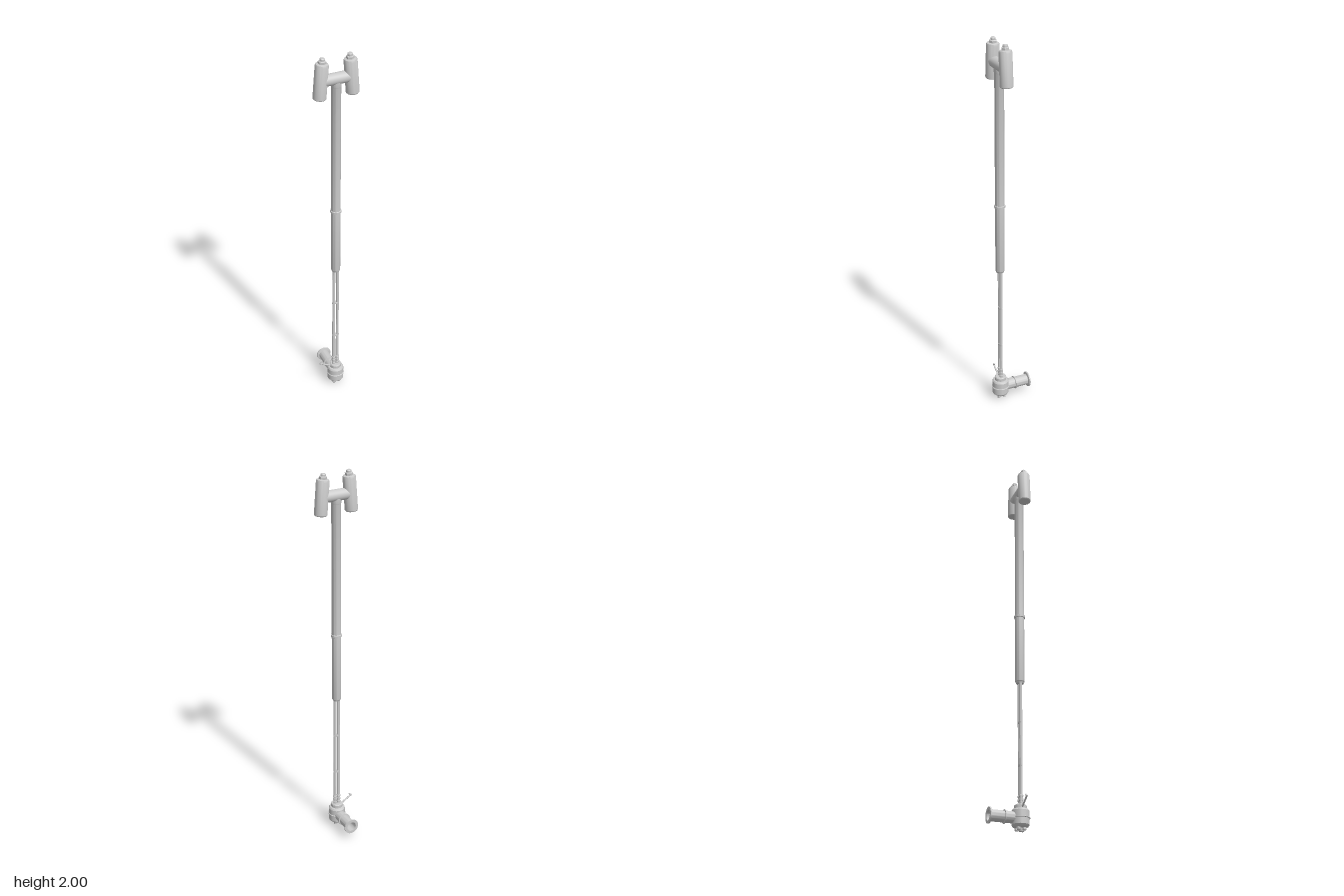
import * as THREE from 'three';
import { toCreasedNormals } from 'three/addons/utils/BufferGeometryUtils.js';

const material = new THREE.MeshStandardMaterial({ color: 0xcccccc });

// Turned part from [radius, height] pairs, bottom to top
function turned(name, profile, sides = 32) {
  const pts = profile.map(([r, y]) => new THREE.Vector2(r, y));
  const geo = toCreasedNormals(new THREE.LatheGeometry(pts, sides), 0.5);
  const mesh = new THREE.Mesh(geo, material);
  mesh.name = name;
  return mesh;
}

// Cylinder between two points
function rod(name, a, b, r, sides = 20) {
  const from = new THREE.Vector3(...a), to = new THREE.Vector3(...b);
  const dir = to.clone().sub(from);
  const mesh = new THREE.Mesh(new THREE.CylinderGeometry(r, r, dir.length(), sides), material);
  mesh.position.copy(from).add(to).multiplyScalar(0.5);
  mesh.quaternion.setFromUnitVectors(new THREE.Vector3(0, 1, 0), dir.normalize());
  mesh.name = name;
  return mesh;
}

export function createModel() {
  const model = new THREE.Group();
  const column = new THREE.Group();
  column.position.z = 0.057;
  column.name = 'column';
  model.add(column);

  // Main outer tube with joint ring and stepped lower end
  column.add(turned('mainTube', [
    [0, 0.765], [0.019, 0.765], [0.021, 0.772], [0.024, 0.776], [0.024, 1.132],
    [0.028, 1.134], [0.028, 1.145], [0.024, 1.147], [0.024, 1.84], [0.026, 1.845], [0.026, 1.88], [0, 1.88],
  ]));

  // Crossbar at the top
  column.add(rod('crossbar', [-0.078, 1.882, 0], [0.078, 1.882, 0], 0.029, 32));

  for (const side of [-1, 1]) {
    // Tilted canister with hexagonal nut and cap
    const canister = new THREE.Group();
    canister.name = side > 0 ? 'leftCanister' : 'rightCanister';
    canister.position.set(side * 0.086, 1.793, 0);
    canister.rotation.z = side * 0.078;
    canister.add(turned('canisterBody', [
      [0, 0], [0.03, 0], [0.033, 0.004], [0.033, 0.17], [0.03, 0.178], [0.021, 0.181], [0, 0.181],
    ]));
    canister.add(turned('canisterNut', [[0, 0.18], [0.02, 0.18], [0.02, 0.192], [0.016, 0.195], [0, 0.195]], 6));
    canister.add(turned('canisterCap', [[0, 0.194], [0.013, 0.194], [0.013, 0.204], [0.01, 0.2075], [0, 0.2075]], 12));
    column.add(canister);

    // Thin supply rods with stepped fittings at the foot
    column.add(turned(side > 0 ? 'leftRod' : 'rightRod', [
      [0, 0.12], [0.01, 0.12], [0.01, 0.14], [0.0085, 0.142], [0.0085, 0.15], [0.0105, 0.151],
      [0.0105, 0.16], [0.0085, 0.161], [0.0085, 0.17], [0.0105, 0.171], [0.0105, 0.178],
      [0.0078, 0.18], [0.0078, 0.77], [0, 0.77],
    ], 16).translateX(side * 0.0105));
  }

  // Clips joining the two rods
  for (const y of [0.33, 0.553]) {
    const clip = new THREE.Mesh(new THREE.CylinderGeometry(0.01, 0.01, 0.008, 20), material);
    clip.scale.x = 2;
    clip.position.y = y;
    clip.name = 'rodClip';
    column.add(clip);
  }

  // Valve body with collar
  column.add(turned('valveBody', [
    [0, 0.018], [0.028, 0.018], [0.038, 0.023], [0.044, 0.031], [0.044, 0.062], [0.0475, 0.064],
    [0.0475, 0.068], [0.044, 0.07], [0.044, 0.1], [0.039, 0.108], [0.031, 0.11], [0.031, 0.126], [0.028, 0.13], [0, 0.13],
  ]));

  // Ring of hexagonal studs underneath
  for (let i = 0; i < 4; i++) {
    const a = Math.PI / 4 + i * Math.PI / 2;
    const stud = turned('footStud', [[0, 0], [0.008, 0], [0.01, 0.003], [0.01, 0.022], [0, 0.022]], 6);
    stud.position.set(Math.cos(a) * 0.021, 0.004, Math.sin(a) * 0.021);
    column.add(stud);
  }
  column.add(turned('centreStud', [[0, 0], [0.008, 0], [0.009, 0.002], [0.009, 0.022], [0, 0.022]], 12));

  // Lever with a short cross handle
  column.add(rod('leverArm', [-0.022, 0.113, 0], [-0.093, 0.154, 0], 0.0045, 10));
  column.add(rod('leverHandle', [-0.088, 0.15, 0], [-0.077, 0.163, 0], 0.004, 10));

  // Open outlet pipe with ring and end flange, pointing backwards
  const outlet = turned('outletPipe', [
    [0, 0], [0.029, 0], [0.029, 0.079], [0.0345, 0.08], [0.0345, 0.085], [0.029, 0.086], [0.029, 0.154],
    [0.041, 0.157], [0.041, 0.164], [0.026, 0.164], [0.026, 0.06], [0, 0.06],
  ]);
  outlet.rotation.x = -Math.PI / 2;
  outlet.position.y = 0.066;
  column.add(outlet);

  return model;
}
